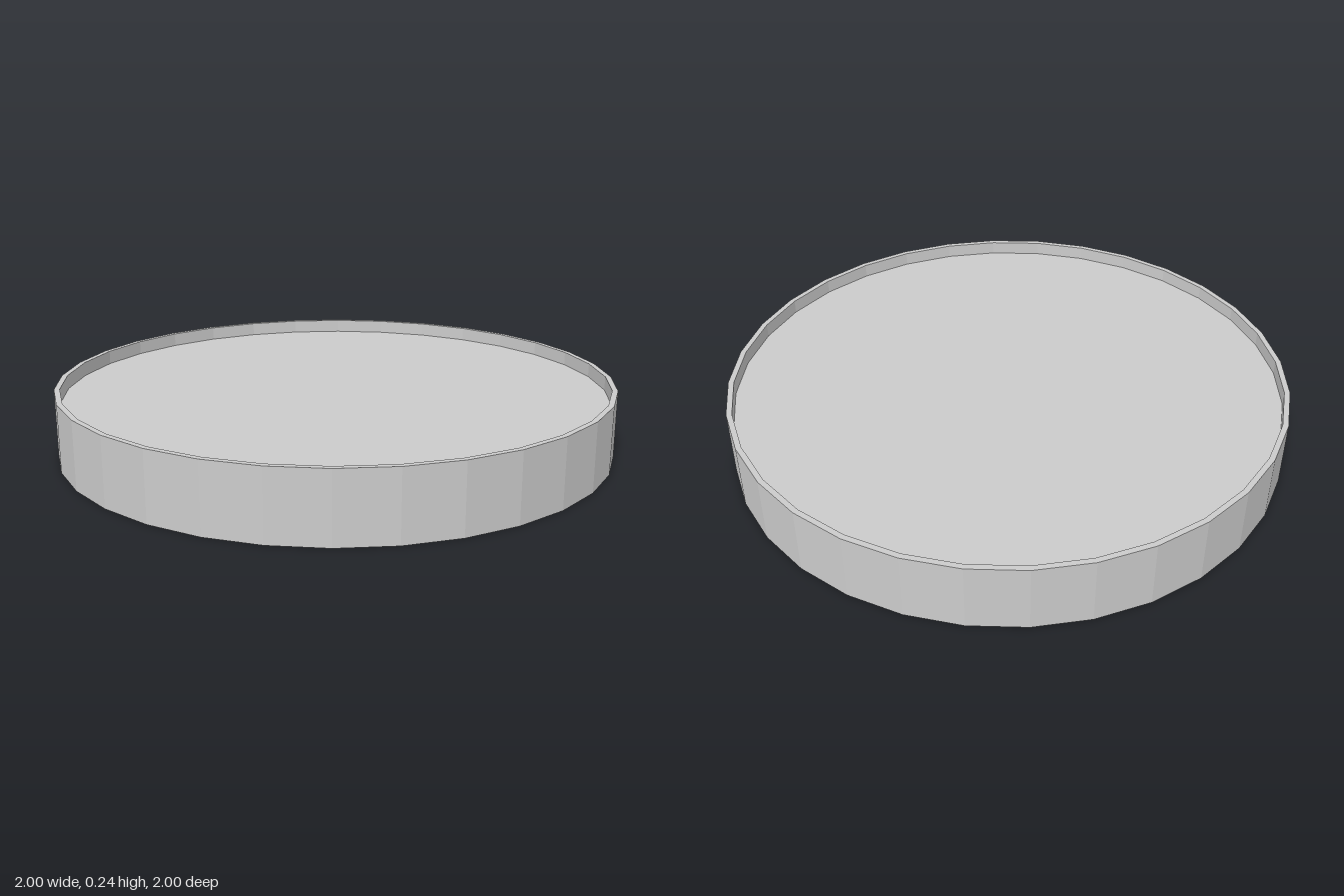
import * as THREE from 'three';

const SIDES = 32;
const OUTER = 1, INNER = 0.98;
const HEIGHT = 0.24, FLOOR = 0.19;

export function createModel() {
  const group = new THREE.Group();
  group.name = 'shallowRoundTray';
  const material = new THREE.MeshStandardMaterial({ color: 0xcccccc, flatShading: true });

  const add = (name, geometry, y = 0, tilt = 0) => {
    const mesh = new THREE.Mesh(geometry, material);
    mesh.name = name;
    mesh.position.y = y;
    mesh.rotation.x = tilt;
    group.add(mesh);
  };

  // Faceted wall: outer side, thin flat lip, short inner side
  const profile = [[OUTER, 0], [OUTER, HEIGHT], [INNER, HEIGHT], [INNER, FLOOR]]
    .map(([r, y]) => new THREE.Vector2(r, y));
  add('rimWall', new THREE.LatheGeometry(profile, SIDES));

  // Recessed top surface and flat underside
  add('recessedTop', new THREE.CircleGeometry(INNER, SIDES), FLOOR, -Math.PI / 2);
  add('underside', new THREE.CircleGeometry(OUTER, SIDES), 0, Math.PI / 2);

  return group;
}
